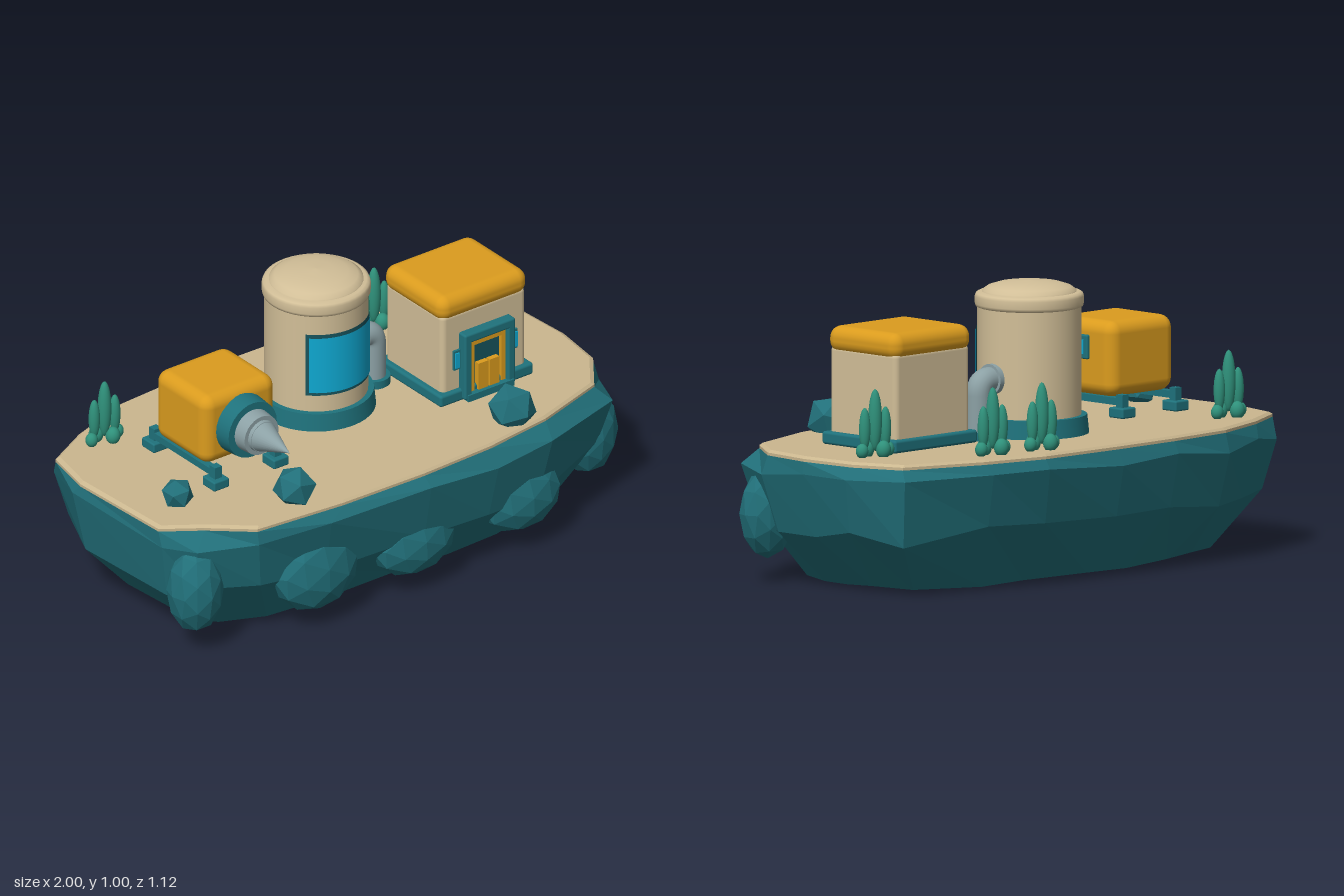
import * as THREE from 'three';
import { RoundedBoxGeometry } from 'three/addons/geometries/RoundedBoxGeometry.js';

const mat = (name, color, extra = {}) => Object.assign(new THREE.MeshStandardMaterial({ color, ...extra }), { name });

// Lofts closed rings of [x, y, z] (top to bottom, clockwise from above) with both ends capped
function loft(rings) {
  const v = [], n = rings[0].length;
  const tri = (...p) => p.forEach(q => v.push(...q));
  const centre = r => r.reduce((s, p) => s.map((c, k) => c + p[k] / n), [0, 0, 0]);
  const top = rings[0], low = rings[rings.length - 1], ct = centre(top), cl = centre(low);
  for (let i = 0; i < n; i++) {
    const j = (i + 1) % n;
    tri(ct, top[j], top[i]);
    tri(cl, low[i], low[j]);
    for (let k = 0; k + 1 < rings.length; k++) {
      const a = rings[k], b = rings[k + 1];
      tri(a[j], b[j], b[i]);
      tri(a[j], b[i], a[i]);
    }
  }
  const g = new THREE.BufferGeometry();
  g.setAttribute('position', new THREE.Float32BufferAttribute(v, 3));
  g.computeVertexNormals();
  return g;
}

export function createModel() {
  const rock = mat('rock teal', 0x216f79, { flatShading: true });
  const teal = mat('trim teal', 0x1f727c);
  const sand = mat('sand', 0xcbb78f);
  const cream = mat('cream wall', 0xd2bf98);
  const orange = mat('orange', 0xdb9c1e);
  const metal = mat('grey metal', 0x8ca1a5);
  const glass = mat('cyan glass', 0x0fa9d2, { side: THREE.DoubleSide });
  const leaf = mat('leaf green', 0x2f917b);
  const dark = mat('dark teal', 0x17545d, { side: THREE.DoubleSide });

  const model = new THREE.Group();
  const group = (name, x = 0, y = 0, z = 0) => {
    const g = new THREE.Group();
    g.name = name;
    g.position.set(x, y, z);
    model.add(g);
    return g;
  };
  const add = (parent, name, geo, m, x = 0, y = 0, z = 0) => {
    const mesh = new THREE.Mesh(geo, m);
    mesh.name = name;
    mesh.position.set(x, y, z);
    parent.add(mesh);
    return mesh;
  };
  const box = (w, h, d) => new THREE.BoxGeometry(w, h, d);
  const rounded = (w, h, d, r) => new RoundedBoxGeometry(w, h, d, 3, r);
  let seed = 7;
  const jitter = a => ((seed = (seed * 16807) % 2147483647) / 2147483647 - 0.5) * 2 * a;

  // Island: faceted rock under a thin sand cap
  const rim = [[-0.99, -0.15], [-0.95, -0.34], [-0.78, -0.43], [-0.55, -0.51], [-0.28, -0.53], [0, -0.535],
    [0.35, -0.53], [0.6, -0.48], [0.9, -0.38], [0.97, -0.2], [0.985, 0.02], [0.96, 0.22], [0.85, 0.37],
    [0.57, 0.46], [0.3, 0.5], [0, 0.515], [-0.35, 0.51], [-0.7, 0.48], [-0.84, 0.36], [-0.97, 0.27]];
  const belly = [[-1, -0.18], [-0.92, -0.39], [-0.76, -0.46], [-0.55, -0.53], [-0.28, -0.55], [0, -0.56],
    [0.35, -0.55], [0.58, -0.505], [0.92, -0.41], [1, -0.2], [0.99, 0.02], [0.97, 0.24], [0.9, 0.41],
    [0.55, 0.525], [0.3, 0.545], [0, 0.555], [-0.42, 0.535], [-0.7, 0.49], [-0.9, 0.4], [-0.97, 0.29]];
  const ring = (pts, y, sx, sz, dy = 0, d = 0) =>
    pts.map(([x, z]) => [x * sx + jitter(d), y + jitter(dy), z * sz + jitter(d)]);
  const bottom = ring(belly, 0.008, 0.78, 0.66, 0.008, 0.02);
  const island = group('island');
  add(island, 'rockBase', loft([ring(rim, 0.455, 1, 1), ring(belly, 0.4, 1, 1, 0.025),
    ring(belly, 0.21, 0.955, 0.925, 0.03, 0.012), bottom]), rock);
  add(island, 'sandCap', loft([ring(rim, 0.473, 0.985, 0.985), ring(rim, 0.465, 1, 1), ring(rim, 0.452, 1, 1)]), sand);

  // Boulders bulging from the front of the cliff: x, y, z, radii, tilt
  [[-0.88, 0.24, 0.36, 0.1, 0.165, 0.1], [-0.43, 0.22, 0.45, 0.18, 0.16, 0.09], [-0.01, 0.19, 0.46, 0.175, 0.13, 0.085],
    [0.46, 0.2, 0.45, 0.17, 0.13, 0.09], [0.88, 0.24, 0.3, 0.11, 0.16, 0.085]].forEach(([x, y, z, a, b, c], i) => {
    const m = add(island, 'cliffBoulder', new THREE.IcosahedronGeometry(1, 1), rock, x, y, z);
    m.scale.set(a, b, c);
    m.rotation.set(i % 4 ? -0.2 : 0, 0, 0);
  });
  [[0.47, 0.515, 0.4, 0.088], [-0.47, 0.515, 0.39, 0.078], [-0.81, 0.508, 0.17, 0.058]].forEach(([x, y, z, r], i) => {
    add(island, 'looseRock', new THREE.IcosahedronGeometry(r, 0), rock, x, y, z).rotation.set(0.55, i, 0);
  });

  // Storage tank
  const tank = group('tank', 0, 0, -0.1);
  const lathe = pts => new THREE.LatheGeometry(pts.map(p => new THREE.Vector2(...p)), 40);
  add(tank, 'tankBase', new THREE.CylinderGeometry(0.2, 0.207, 0.065, 40), teal, 0, 0.505, 0);
  add(tank, 'tankBody', new THREE.CylinderGeometry(0.18, 0.18, 0.4, 40), cream, 0, 0.73, 0);
  add(tank, 'tankLip', lathe([[0.178, 0.912], [0.186, 0.915], [0.189, 0.925], [0.189, 0.95], [0.185, 0.96],
    [0.175, 0.965], [0.15, 0.966]]), cream);
  add(tank, 'tankDome', lathe([[0.166, 0.955], [0.163, 0.97], [0.145, 0.983], [0.11, 0.994], [0.06, 1.001], [0, 1.004]]), cream);
  const arc = (r, h, a) => new THREE.CylinderGeometry(r, r, h, 20, 1, true, -a, 2 * a);
  add(tank, 'windowFrame', arc(0.184, 0.24, 0.86), dark, 0, 0.722, 0);
  add(tank, 'windowGlass', arc(0.188, 0.215, 0.79), glass, 0, 0.722, 0);

  // Elbow pipe from tank to ground
  const pipe = group('pipe', 0, 0, -0.1);
  const path = new THREE.CurvePath();
  const v = (x, y) => new THREE.Vector3(x, y, 0);
  path.add(new THREE.LineCurve3(v(0.16, 0.675), v(0.2, 0.675)));
  path.add(new THREE.QuadraticBezierCurve3(v(0.2, 0.675), v(0.248, 0.675), v(0.248, 0.627)));
  path.add(new THREE.LineCurve3(v(0.248, 0.627), v(0.248, 0.47)));
  add(pipe, 'elbowPipe', new THREE.TubeGeometry(path, 30, 0.044, 20), metal);
  add(pipe, 'pipeCollar', new THREE.CylinderGeometry(0.054, 0.054, 0.02, 20), metal, 0.185, 0.675, 0).rotation.z = Math.PI / 2;
  add(pipe, 'pipeFlange', new THREE.CylinderGeometry(0.06, 0.06, 0.03, 20), teal, 0.248, 0.487, 0);

  // House with doorway
  const house = group('house', 0.517, 0, 0.017);
  add(house, 'houseBase', rounded(0.405, 0.045, 0.36, 0.01), teal, 0, 0.496, 0);
  add(house, 'houseWalls', rounded(0.365, 0.32, 0.325, 0.02), cream, 0, 0.66, 0);
  add(house, 'houseRoof', rounded(0.386, 0.095, 0.342, 0.042), orange, 0, 0.84, 0);
  add(house, 'doorBack', box(0.18, 0.24, 0.008), dark, 0, 0.6, 0.166);
  for (const s of [-1, 1]) {
    add(house, 'doorPost', rounded(0.032, 0.25, 0.045, 0.008), teal, s * 0.094, 0.605, 0.176);
    add(house, 'innerPost', box(0.018, 0.2, 0.02), orange, s * 0.067, 0.59, 0.174);
    add(house, 'doorLeaf', box(0.042, 0.11, 0.02), orange, s * 0.024, 0.547, 0.18);
    add(house, 'lampMount', box(0.028, 0.075, 0.012), teal, s * 0.124, 0.635, 0.166);
    add(house, 'lamp', box(0.018, 0.058, 0.018), glass, s * 0.126, 0.635, 0.168);
  }
  add(house, 'doorLintel', rounded(0.22, 0.036, 0.045, 0.008), teal, 0, 0.718, 0.176);
  add(house, 'innerLintel', box(0.15, 0.02, 0.02), orange, 0, 0.688, 0.174);
  add(house, 'doorStep', box(0.2, 0.025, 0.05), teal, 0, 0.487, 0.18);

  // Drilling machine on four feet
  const drill = group('drillMachine', -0.523, 0, 0.01);
  add(drill, 'machineBody', rounded(0.316, 0.265, 0.296, 0.045), orange, 0, 0.688, 0);
  for (const s of [-1, 1]) {
    add(drill, 'skid', box(0.03, 0.025, 0.36), teal, s * 0.13, 0.545, 0);
    for (const t of [-1, 1]) {
      add(drill, 'leg', box(0.03, 0.07, 0.03), teal, s * 0.13, 0.535, t * 0.172);
      add(drill, 'foot', rounded(0.066, 0.036, 0.07, 0.006), teal, s * 0.13, 0.508, t * 0.172);
    }
  }
  const along = (name, r1, r2, z1, z2, m) =>
    add(drill, name, new THREE.CylinderGeometry(r1, r2, z2 - z1, 28), m, 0, 0.685, (z1 + z2) / 2).rotation.x = Math.PI / 2;
  along('drillRing', 0.105, 0.112, 0.13, 0.212, teal);
  along('drillCollar', 0.074, 0.08, 0.2, 0.262, metal);
  along('drillNeck', 0.056, 0.06, 0.255, 0.275, metal);
  along('drillTip', 0, 0.056, 0.27, 0.422, metal);
  add(drill, 'sideWindowFrame', rounded(0.02, 0.085, 0.1, 0.006), teal, 0.16, 0.725, 0.01);
  add(drill, 'sideWindow', box(0.006, 0.05, 0.065), glass, 0.17, 0.725, 0.01);

  // Plants: tall pods in a row with round leaves at the foot
  const pod = new THREE.IcosahedronGeometry(1, 3);
  [[-0.745, -0.33, 0], [0.28, -0.44, 0], [0.485, -0.405, 0], [0.805, -0.15, -0.15]].forEach(([x, z, turn]) => {
    const plant = group('plant', x, 0.47, z);
    plant.rotation.y = turn;
    const blob = (name, bx, by, bz, r, h) => add(plant, name, pod, leaf, bx, by, bz).scale.set(r, h, r);
    blob('tallPod', 0, 0.13, 0, 0.024, 0.108);
    for (const s of [-1, 1]) {
      blob('sidePod', s * 0.04, 0.1, s * 0.006, 0.02, 0.075);
      blob('outerLeaf', s * 0.056, 0.025, 0, 0.022, 0.026);
      blob('innerLeaf', s * 0.02, 0.027, s * 0.022, 0.026, 0.032);
    }
  });

  return model;
}
